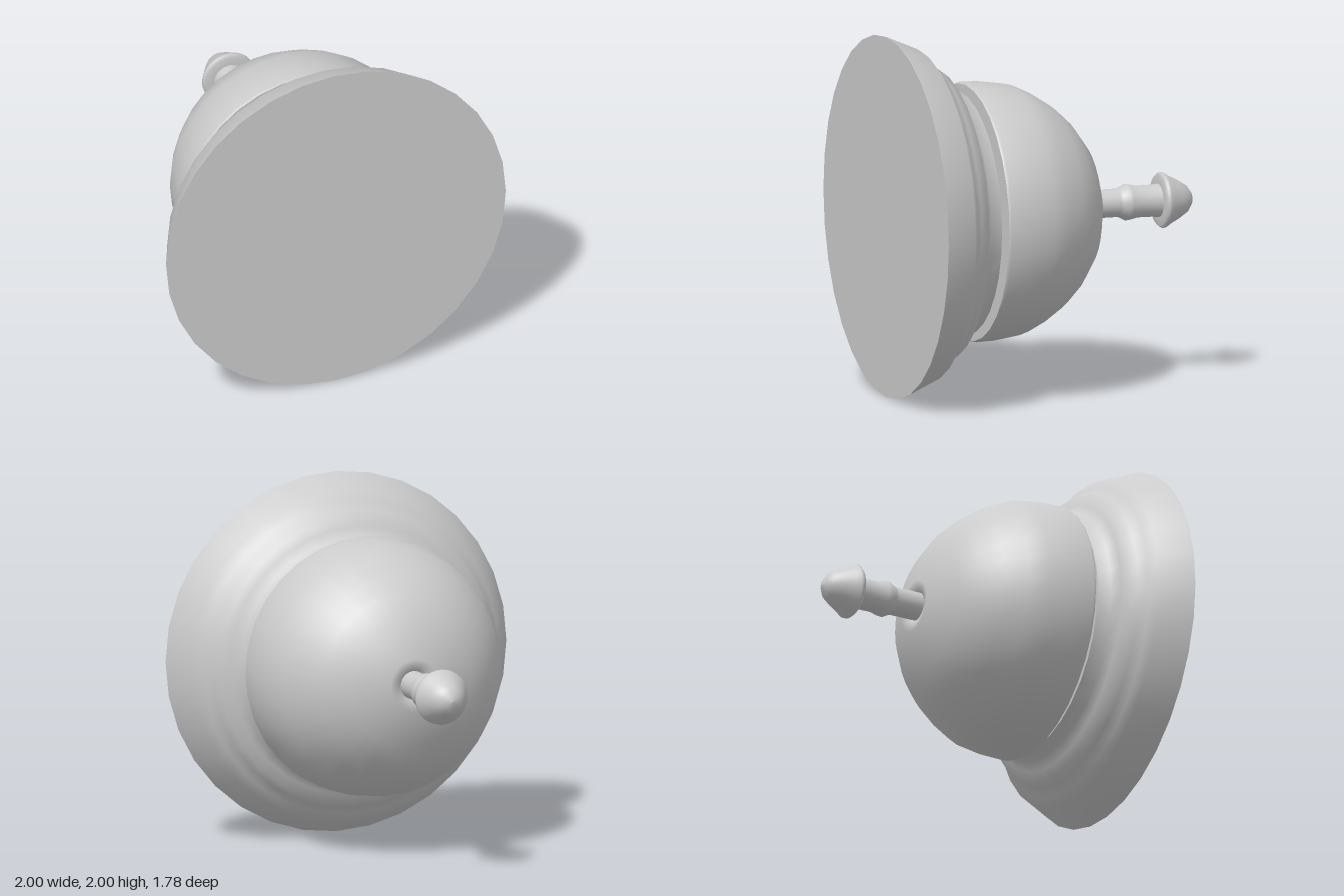
import * as THREE from 'three';

const material = new THREE.MeshStandardMaterial({ color: 0xcccccc });

// Turned part on the z axis from [radius, z] pairs, ordered from front (+z) to back (-z).
function turned(name, profile, segments = 32) {
  const points = profile.map(([r, z]) => new THREE.Vector2(r, -z));
  const geometry = new THREE.LatheGeometry(points, segments);
  geometry.rotateX(-Math.PI / 2);
  const mesh = new THREE.Mesh(geometry, material);
  mesh.name = name;
  mesh.position.y = 1;
  return mesh;
}

export function createModel() {
  const bell = new THREE.Group();
  bell.name = 'deskBell';

  // Stepped base; the flat underside faces the front
  bell.add(turned('base', [
    [1, 0.89], [0.92, 0.705], [0.868, 0.67], [0.828, 0.63], [0.798, 0.58],
    [0.745, 0.568], [0.7, 0.53], [0.672, 0.46],
  ]));
  bell.add(turned('baseUnderside', [[0, 0.89], [1, 0.89]]));
  bell.add(turned('baseTop', [[0.672, 0.46], [0, 0.46]]));

  // Short post between base and dome
  bell.add(turned('post', [[0.28, 0.47], [0.28, 0.42]]));

  // Dome with a small dip where the plunger enters
  bell.add(turned('dome', [
    [0.708, 0.43], [0.715, 0.415], [0.712, 0.31], [0.69, 0.16], [0.64, 0.055],
    [0.565, -0.06], [0.48, -0.15], [0.355, -0.24], [0.145, -0.32], [0.08, -0.3],
    [0.07, -0.26],
  ]));
  bell.add(turned('domeUnderside', [[0, 0.43], [0.708, 0.43]]));

  // Plunger stem with a raised ring
  bell.add(turned('plungerStem', [
    [0.078, -0.25], [0.078, -0.45], [0.084, -0.47], [0.1, -0.5], [0.097, -0.525],
    [0.087, -0.57], [0.088, -0.65], [0.092, -0.7],
  ]));

  // Plunger button
  bell.add(turned('plungerButton', [
    [0.085, -0.695], [0.14, -0.695], [0.153, -0.71], [0.152, -0.725], [0.135, -0.75],
    [0.107, -0.805], [0.075, -0.855], [0.037, -0.882], [0, -0.89],
  ]));

  return bell;
}
